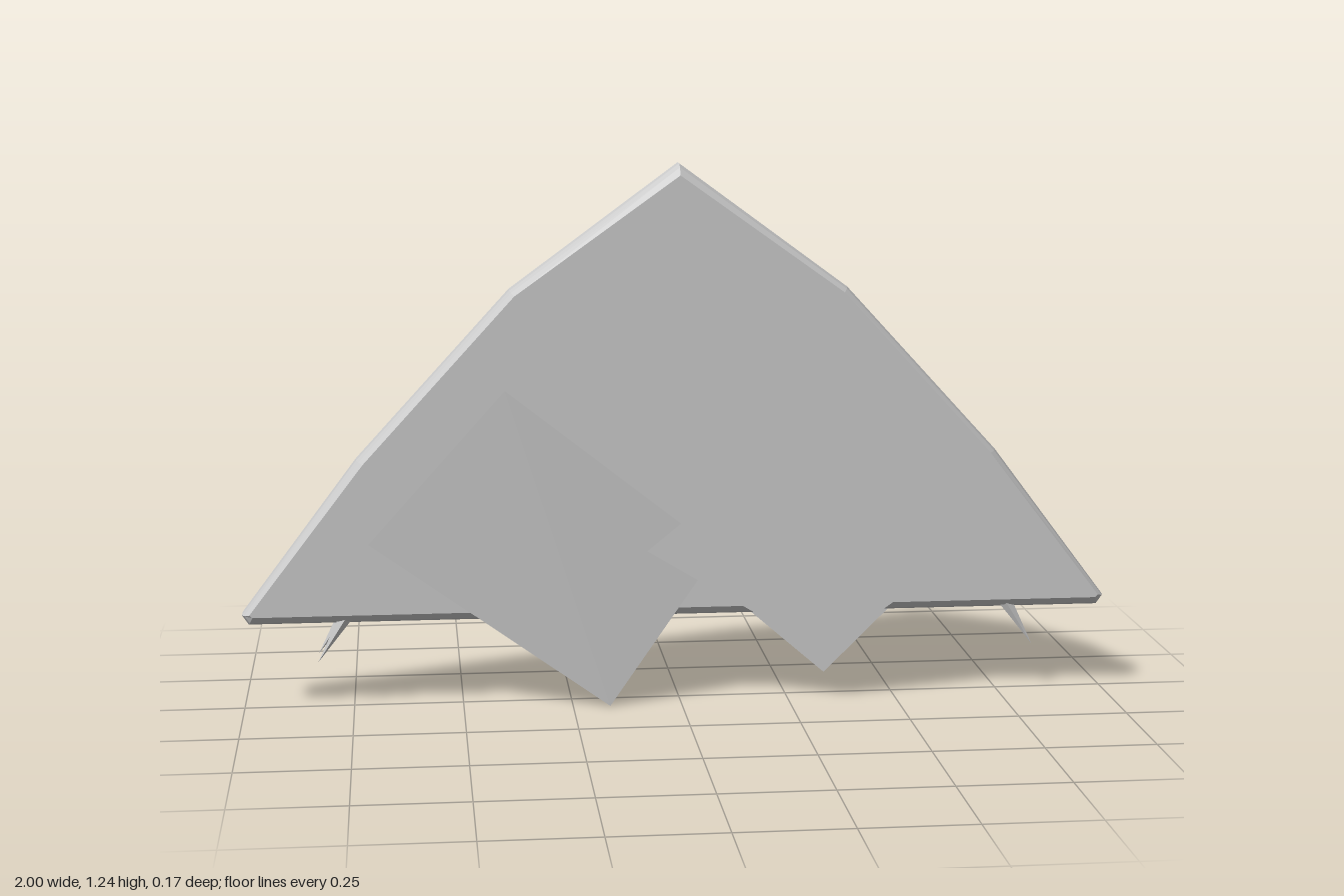
import * as THREE from 'three';

const grey = new THREE.MeshStandardMaterial({ color: 0xcccccc, flatShading: true });
const greyThin = new THREE.MeshStandardMaterial({ color: 0xcccccc, side: THREE.DoubleSide });

// Half outline (x >= 0), counter-clockwise from the bottom: widest rim and inset face
const rimHalf = [[0.985, 0.2], [1, 0.222], [0.735, 0.575], [0.385, 0.957]];
const faceHalf = [[0.975, 0.222], [0.982, 0.228], [0.72, 0.57], [0.375, 0.947]];

function outline(half, peak) {
  const mirrored = half.map(([x, y]) => [-x, y]).reverse();
  return [...half, [0, peak], ...mirrored];
}

function buildGeometry(positions) {
  const g = new THREE.BufferGeometry();
  g.setAttribute('position', new THREE.Float32BufferAttribute(positions, 3));
  g.computeVertexNormals();
  return g;
}

// Slab lofted through outlines from back to front, rounded over at the rim
function slabGeometry() {
  const rim = outline(rimHalf, 1.24);
  const face = outline(faceHalf, 1.215);
  const sections = [[-0.053, 0], [-0.04, 0.68], [-0.023, 1], [0.013, 1], [0.03, 0.68], [0.043, 0]];
  const rings = sections.map(([z, t]) => rim.map(([x, y], i) => [
    THREE.MathUtils.lerp(face[i][0], x, t),
    THREE.MathUtils.lerp(face[i][1], y, t), z]));
  const pos = [];
  const tri = (a, b, c) => pos.push(...a, ...b, ...c);
  const n = rim.length;
  for (let r = 0; r < rings.length - 1; r++) {
    for (let i = 0; i < n; i++) {
      const j = (i + 1) % n;
      tri(rings[r][i], rings[r][j], rings[r + 1][j]);
      tri(rings[r][i], rings[r + 1][j], rings[r + 1][i]);
    }
  }
  const back = rings[0], front = rings[rings.length - 1];
  for (let i = 1; i < n - 1; i++) {
    tri(front[0], front[i], front[i + 1]);
    tri(back[0], back[i + 1], back[i]);
  }
  return buildGeometry(pos);
}

// Paper-thin four-cornered sheet
function sheet(name, [a, b, c, d]) {
  const mesh = new THREE.Mesh(buildGeometry([...a, ...b, ...c, ...a, ...c, ...d]), greyThin);
  mesh.name = name;
  return mesh;
}

export function createModel() {
  const group = new THREE.Group();

  const slab = new THREE.Mesh(slabGeometry(), grey);
  slab.name = 'slab';
  group.add(slab);

  // Tilted sheets floating off both faces
  group.add(
    sheet('frontRightSheet', [[-0.4, 0.74, 0.087], [-0.71, 0.395, 0.087], [-0.165, 0, 0.069], [0.085, 0.355, 0.054]]),
    sheet('frontLeftSheet', [[0.35, 0.715, 0.086], [-0.08, 0.365, 0.082], [0.325, 0.12, 0.086], [0.715, 0.39, 0.087]]),
    sheet('backLeftSheet', [[0.385, 0.68, -0.087], [0.725, 0.39, -0.086], [0.355, 0.025, -0.085], [0.02, 0.315, -0.087]]),
    sheet('backRightSheet', [[-0.115, 0.68, -0.085], [-0.71, 0.4, -0.085], [-0.3, 0.1, -0.084], [0.147, 0.394, -0.084]])
  );

  // Slender spikes splaying out under each end
  for (const side of [-1, 1]) {
    for (const [z, tipY] of [[0.025, 0.11], [-0.038, 0.115]]) {
      const height = 0.23 - tipY;
      const g = new THREE.ConeGeometry(0.02, height, 4);
      g.rotateX(Math.PI);
      g.scale(1, 1, 0.5);
      const p = g.attributes.position;
      // Shear the tip outwards
      for (let i = 0; i < p.count; i++) {
        p.setX(i, p.getX(i) + side * 0.075 * (0.5 - p.getY(i) / height));
      }
      g.computeVertexNormals();
      const spike = new THREE.Mesh(g, grey);
      spike.name = side > 0 ? 'leftSpike' : 'rightSpike';
      spike.position.set(side * 0.755, tipY + height / 2, z);
      group.add(spike);
    }
  }
  return group;
}
